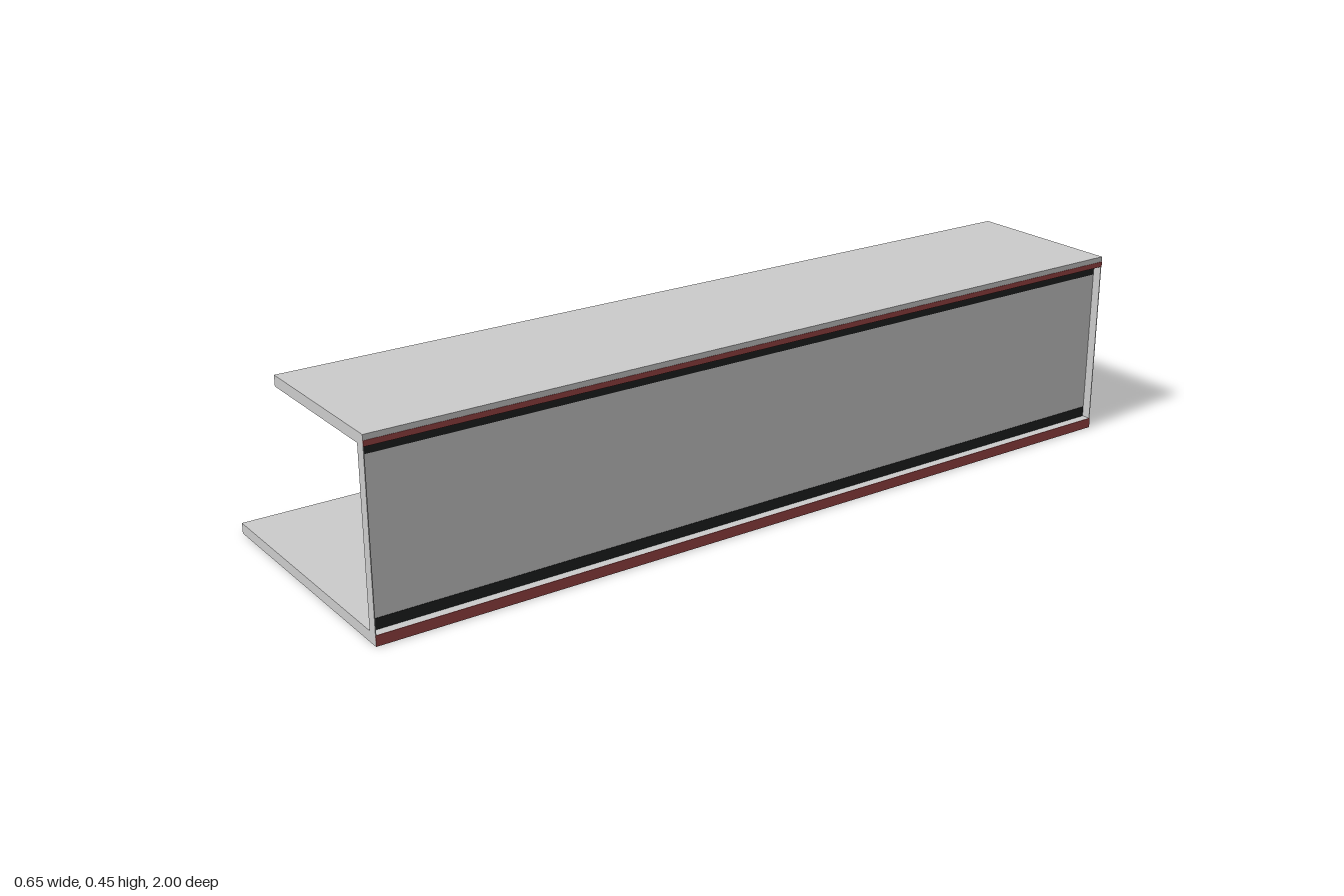
import * as THREE from 'three';

const grey = new THREE.MeshStandardMaterial({ color: 0xcccccc });
grey.name = 'light grey';
const black = new THREE.MeshStandardMaterial({ color: 0x1e2020 });
black.name = 'black';
const red = new THREE.MeshStandardMaterial({ color: 0x9c4444 });
red.name = 'dull red';

const LENGTH = 2, T = 0.025, HALF = 0.325, TOP = 0.45;

export function createModel() {
  const model = new THREE.Group();
  model.name = 'channelProfile';

  // Box given by its x, y and z limits
  const slab = (name, material, x0, x1, y0, y1, z0 = -LENGTH / 2, z1 = LENGTH / 2) => {
    const mesh = new THREE.Mesh(new THREE.BoxGeometry(x1 - x0, y1 - y0, z1 - z0), material);
    mesh.position.set((x0 + x1) / 2, (y0 + y1) / 2, (z0 + z1) / 2);
    mesh.name = name;
    model.add(mesh);
  };

  // Wide base flange and narrower top flange
  slab('baseFlange', grey, -HALF, HALF, 0, T);
  slab('topFlange', grey, -0.075, HALF, TOP - T, TOP);

  // Thin web, set back from the outer edge of the flanges
  const webIn = HALF - T, webOut = webIn + 0.003;
  slab('web', grey, webIn, webOut, T, TOP - T);

  // Web end caps closing the recess at both ends
  for (const [name, z] of [['frontWebCap', 0.998], ['backWebCap', -1]]) {
    slab(name, grey, webIn, HALF, T, TOP - T, z, z + 0.002);
  }

  // Dark bands along both web joints, showing on both faces
  for (const [name, y] of [['lowerJointBand', T], ['upperJointBand', TOP - 2 * T]]) {
    slab(name, black, webIn - 0.001, webOut + 0.001, y, y + T, -0.997, 0.997);
  }

  // Red edge strips on the outer side of the flanges
  slab('baseEdgeStrip', red, HALF - 0.001, HALF + 0.001, 0.001, T);
  slab('topEdgeStrip', red, HALF - 0.001, HALF + 0.001, TOP - T, TOP - T / 2);

  return model;
}
